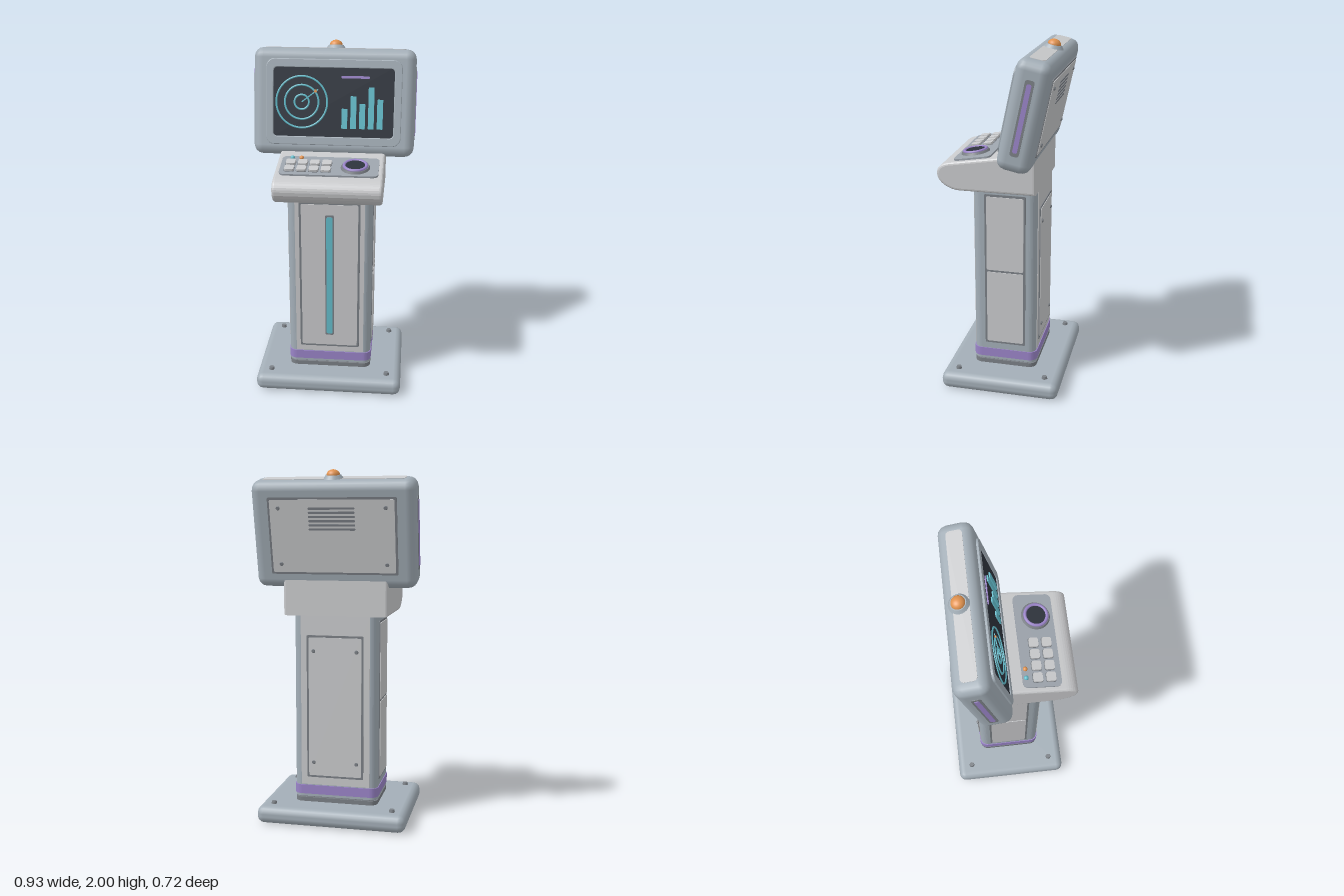
import * as THREE from 'three';
import { RoundedBoxGeometry } from 'three/addons/geometries/RoundedBoxGeometry.js';

const mat = (name, color) => new THREE.MeshStandardMaterial({ name, color });

export function createModel() {
  const shell = mat('blue grey shell', 0xa3aeb7);
  const panel = mat('light grey panel', 0xc9cacc);
  const trim = mat('dark grey trim', 0x7b8086);
  const deckGrey = mat('control deck grey', 0x9da4ad);
  const dark = mat('screen dark', 0x2d333c);
  const teal = mat('teal light', 0x63bccb);
  const purple = mat('purple accent', 0x9a84c8);
  const orange = mat('orange lamp', 0xe0924f);

  const model = new THREE.Group();
  model.name = 'kiosk';

  const group = (name, parent, x = 0, y = 0, z = 0, rx = 0, ry = 0) => {
    const g = new THREE.Group();
    g.name = name;
    g.position.set(x, y, z);
    g.rotation.set(rx, ry, 0);
    parent.add(g);
    return g;
  };
  const add = (name, parent, geo, material, x = 0, y = 0, z = 0) => {
    const m = new THREE.Mesh(geo, material);
    m.name = name;
    m.position.set(x, y, z);
    parent.add(m);
    return m;
  };
  const roundRect = (w, h, r, Type = THREE.Shape) => {
    const s = new Type(), a = w / 2, b = h / 2, q = Math.PI / 2;
    s.absarc(a - r, b - r, r, 0, q);
    s.absarc(-a + r, b - r, r, q, 2 * q);
    s.absarc(-a + r, -b + r, r, 2 * q, 3 * q);
    s.absarc(a - r, -b + r, r, 3 * q, 4 * q);
    s.closePath();
    return s;
  };
  // Plate lying in xy with its back on z = 0
  const plate = (w, h, t, r = 0.008) =>
    new THREE.ExtrudeGeometry(roundRect(w, h, r), { depth: t, bevelEnabled: false, curveSegments: 4 });
  // Disc facing +z with its back on z = 0
  const disc = (r0, r1, t, n = 24) =>
    new THREE.CylinderGeometry(r1, r0, t, n).rotateX(Math.PI / 2).translate(0, 0, t / 2);
  // Dark-edged panel
  const framed = (name, parent, w, h, x, y, z) => {
    add(name + 'Edge', parent, plate(w, h, 0.006), trim, x, y, z);
    add(name, parent, plate(w - 0.024, h - 0.024, 0.009), panel, x, y, z);
  };
  const screws = (parent, w, h, y, z) => {
    for (const sx of [-1, 1]) for (const sy of [-1, 1])
      add('screw', parent, disc(0.012, 0.009, 0.008, 10), trim, sx * w, y + sy * h, z);
  };

  // Base with corner bolts
  const Z0 = -0.0125;
  add('base', model, new RoundedBoxGeometry(0.86, 0.1, 0.69, 2, 0.042), shell, 0, 0.05, -0.017);
  for (const x of [-0.345, 0.345]) for (const z of [-0.275, 0.24]) {
    add('baseBolt', model, new THREE.CylinderGeometry(0.014, 0.018, 0.018, 8), trim, x, 0.106, z);
  }

  // Pedestal with foot rings
  const column = (name, w, d, y0, y1, r, material) => add(name, model,
    plate(w, d, y1 - y0, r).rotateX(-Math.PI / 2), material, 0, y0, Z0);
  column('footRing', 0.485, 0.37, 0.098, 0.125, 0.045, trim);
  column('footGroove', 0.465, 0.35, 0.125, 0.132, 0.04, trim);
  column('footCollar', 0.485, 0.37, 0.132, 0.147, 0.045, shell);
  column('purpleBand', 0.492, 0.378, 0.147, 0.2, 0.046, purple);
  column('pedestal', 0.484, 0.367, 0.2, 1.22, 0.045, shell);

  // Pedestal faces
  const front = group('pedestalFront', model, 0, 0, 0.171);
  add('frontSkin', front, plate(0.4, 0.985, 0.003, 0.001), panel, 0, 0.6975, 0);
  framed('frontPanel', front, 0.35, 0.925, 0, 0.7025, 0.001);
  add('lightStripRecess', front, plate(0.05, 0.77, 0.004), trim, 0, 0.705, 0.008);
  add('lightStrip', front, plate(0.036, 0.745, 0.008), teal, 0, 0.705, 0.009);

  const back = group('pedestalBack', model, 0, 0, -0.196, 0, Math.PI);
  add('backSkin', back, plate(0.4, 0.985, 0.003, 0.001), panel, 0, 0.6975, 0);
  framed('backPanel', back, 0.33, 0.83, 0, 0.665, 0.001);
  screws(back, 0.125, 0.325, 0.665, 0.009);

  for (const s of [-1, 1]) {
    const side = group('pedestalSide', model, s * 0.242, 0, -0.017, 0, s * Math.PI / 2);
    add('sideEdge', side, plate(0.238, 0.925, 0.004), trim, 0, 0.7025, 0);
    add('sideLowerPanel', side, plate(0.214, 0.443, 0.008), panel, 0, 0.4745, 0);
    add('sideUpperPanel', side, plate(0.214, 0.443, 0.008), panel, 0, 0.9305, 0);
  }

  // Console, a side profile swept across x
  const profile = new THREE.Shape();
  profile.moveTo(-0.185, 1.205);
  profile.lineTo(0.23, 1.205);
  profile.bezierCurveTo(0.28, 1.205, 0.345, 1.24, 0.345, 1.285);
  profile.bezierCurveTo(0.345, 1.31, 0.32, 1.328, 0.29, 1.333);
  profile.lineTo(-0.02, 1.382);
  profile.lineTo(-0.185, 1.395);
  const consoleGeo = new THREE.ExtrudeGeometry(profile, {
    depth: 0.57, bevelThickness: 0.015, bevelSize: 0.015, bevelSegments: 3, curveSegments: 8,
  });
  add('console', model, consoleGeo.translate(0, 0, -0.285).rotateY(-Math.PI / 2), panel);

  // Control deck: local z points up from the slope, local y away from the user
  const deck = group('controlDeck', model, 0, 1.367, 0.164, -Math.PI / 2 + 0.157);
  add('deckPlate', deck, plate(0.545, 0.215, 0.011, 0.03), deckGrey);
  for (let i = 0; i < 4; i++) for (const y of [0.024, -0.049]) {
    add('keySurround', deck, plate(0.058, 0.058, 0.003, 0.012), trim, -0.219 + i * 0.0673, y, 0.01);
    add('key', deck, plate(0.052, 0.052, 0.014, 0.011), panel, -0.219 + i * 0.0673, y, 0.01);
  }
  [teal, orange].forEach((m, i) =>
    add('indicatorLamp', deck, new THREE.SphereGeometry(0.013, 14, 10), m, -0.217 + i * 0.051, 0.087, 0.012));
  const dial = group('dial', deck, 0.143, -0.009, 0.01);
  add('dialBase', dial, disc(0.082, 0.075, 0.013, 32), trim);
  add('dialRing', dial, new THREE.TorusGeometry(0.062, 0.009, 10, 36), purple, 0, 0, 0.014);
  add('dialTop', dial, disc(0.055, 0.053, 0.018, 32), dark);

  // Tilted display head
  const head = group('displayHead', model, 0, 1.657, -0.16, -0.209);
  add('headShell', head, new RoundedBoxGeometry(0.92, 0.605, 0.19, 2, 0.055), shell);
  add('headTop', head, plate(0.8, 0.085, 0.003, 0.02).rotateX(-Math.PI / 2), panel, 0, 0.3015, 0);

  const bezel = roundRect(0.76, 0.474, 0.045);
  bezel.holes.push(roundRect(0.69, 0.395, 0.025, THREE.Path));
  add('screenBezel', head, new THREE.ExtrudeGeometry(bezel, {
    depth: 0.01, bevelThickness: 0.004, bevelSize: 0.004, bevelSegments: 2, curveSegments: 5,
  }), shell, 0, 0, 0.094);
  const screen = group('screen', head, 0, 0, 0.095);
  add('screenGlass', screen, plate(0.7, 0.405, 0.006, 0.02), dark);

  // Radar display
  const radar = group('radar', screen, -0.18, 0, 0.007);
  for (const r of [0.145, 0.096, 0.041])
    add('radarRing', radar, new THREE.TorusGeometry(r, 0.0055, 6, 40), teal);
  const sweep = add('radarSweep', radar, plate(0.118, 0.007, 0.004, 0.002), teal, 0.046, 0.036, 0);
  sweep.rotation.z = 0.66;
  add('radarBlip', radar, disc(0.009, 0.008, 0.007, 12), orange, 0.078, 0.062, 0);

  // Bar chart
  [0.112, 0.183, 0.14, 0.235, 0.167].forEach((h, i) =>
    add('chartBar', screen, plate(0.033, h, 0.008, 0.003), teal, 0.064 + i * 0.05, -0.145 + h / 2, 0.005));
  add('chartTitleLine', screen, plate(0.16, 0.014, 0.007, 0.006), purple, 0.122, 0.143, 0.005);

  // Side light slots
  for (const s of [-1, 1]) {
    const slot = group('headSideSlot', head, s * 0.459, 0, 0, 0, s * Math.PI / 2);
    add('slotFrame', slot, plate(0.05, 0.41, 0.004, 0.015), trim);
    add('slotLight', slot, plate(0.026, 0.37, 0.007, 0.01), purple);
  }

  // Rear service panel with vents
  const rear = group('headRear', head, 0, 0, -0.095, 0, Math.PI);
  framed('rearPanel', rear, 0.72, 0.43, 0, 0, 0);
  screws(rear, 0.3, 0.157, 0, 0.008);
  for (let i = 0; i < 6; i++)
    add('ventSlot', rear, plate(0.26, 0.012, 0.004, 0.005), trim, 0, 0.04 + i * 0.023, 0.008);

  // Beacon on top
  const beacon = group('beacon', head, 0, 0.3, -0.01);
  add('beaconCollar', beacon, new THREE.CylinderGeometry(0.042, 0.056, 0.02, 24), shell, 0, 0.012, 0);
  const dome = add('beaconDome', beacon,
    new THREE.SphereGeometry(0.037, 24, 8, 0, Math.PI * 2, 0, Math.PI / 2), orange, 0, 0.021, 0);
  dome.scale.y = 0.8;

  return model;
}
